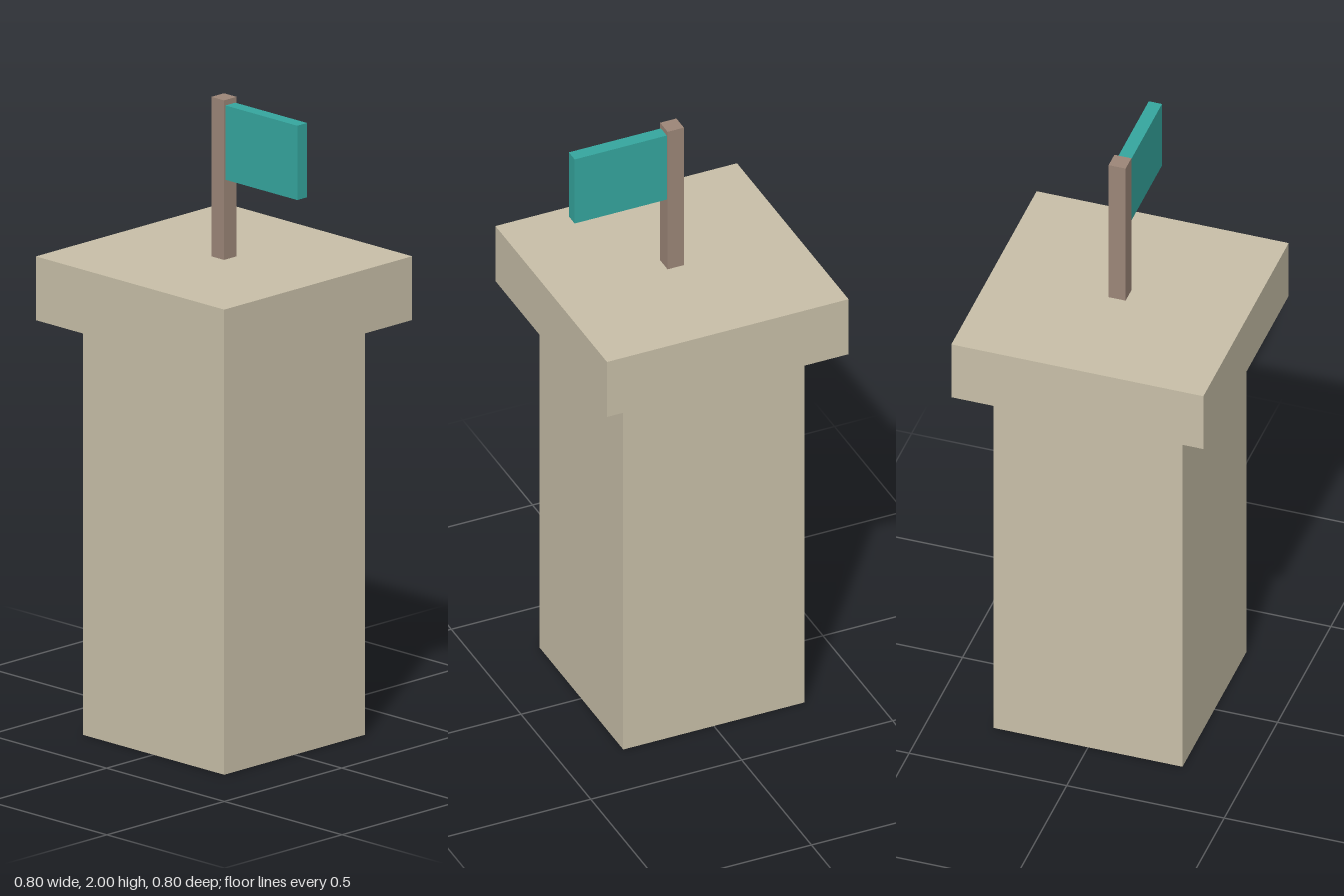
import * as THREE from 'three';

const material = (name, color) => {
  const m = new THREE.MeshStandardMaterial({ color });
  m.name = name;
  return m;
};

export function createModel() {
  const stone = material('sandstone', 0xc8bfa8);
  const wood = material('poleBrown', 0x9c8678);
  const cloth = material('flagTeal', 0x35a69e);

  const tower = new THREE.Group();
  tower.name = 'flagTower';

  // Box spanning x0..x1 and y0..y1, centred on z = 0
  const addBox = (name, mat, x0, x1, y0, y1, depth) => {
    const mesh = new THREE.Mesh(new THREE.BoxGeometry(x1 - x0, y1 - y0, depth), mat);
    mesh.position.set((x0 + x1) / 2, (y0 + y1) / 2, 0);
    mesh.name = name;
    tower.add(mesh);
  };

  addBox('shaft', stone, -0.3, 0.3, 0, 1.3, 0.6);
  addBox('topSlab', stone, -0.4, 0.4, 1.3, 1.5, 0.8);
  addBox('flagPole', wood, -0.027, 0.027, 1.5, 2, 0.054);
  // The flag flies to the model's left, starting inside the pole
  addBox('flag', cloth, 0.02, 0.332, 1.75, 1.983, 0.042);

  return tower;
}
